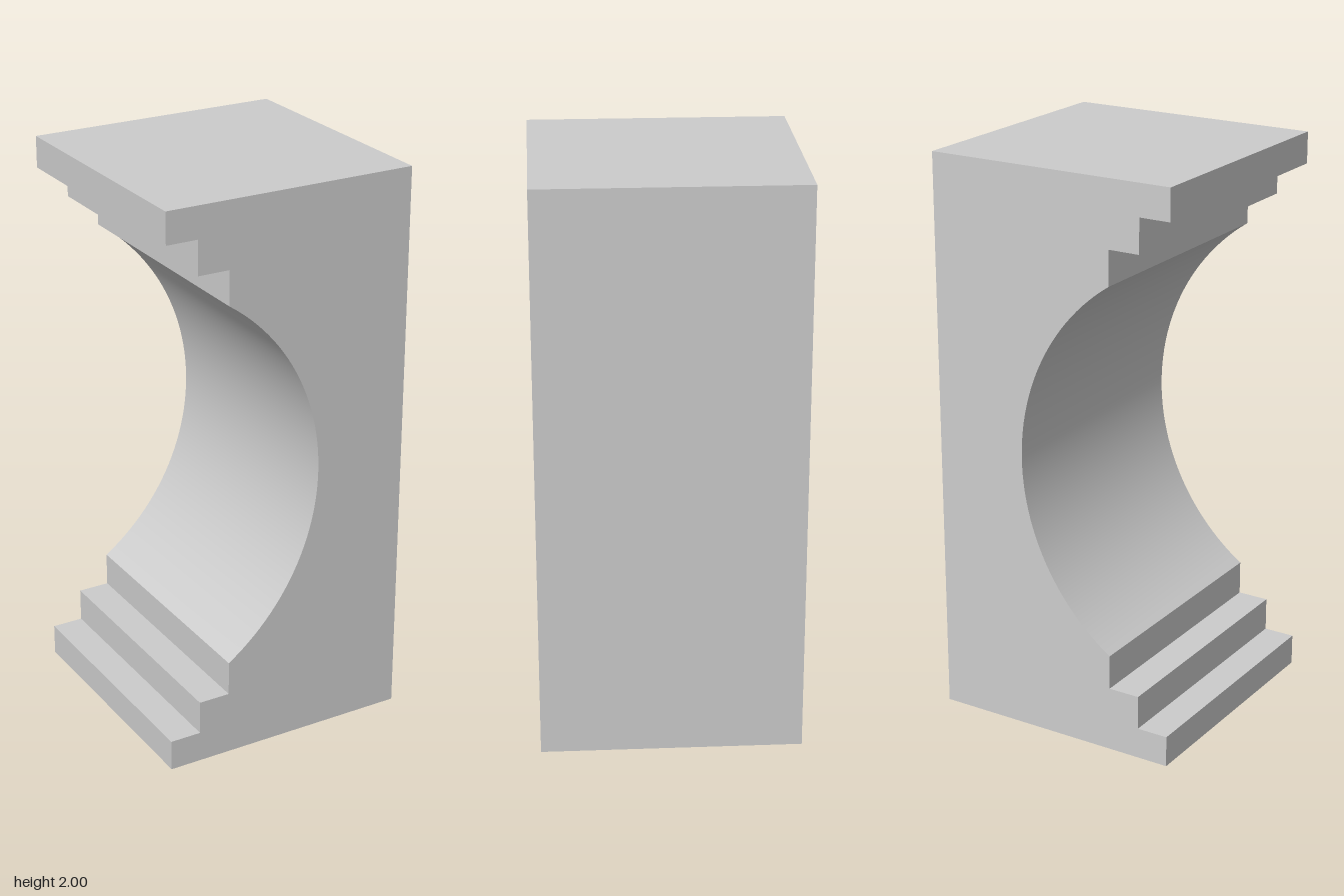
import * as THREE from 'three';
import { toCreasedNormals } from 'three/addons/utils/BufferGeometryUtils.js';

export function createModel() {
  const group = new THREE.Group();
  group.name = 'steppedMoulding';

  const half = 0.452;       // half of width and depth
  const radius = 0.782;     // scooped hollow
  const centreX = -0.664;
  const lipX = -0.227;      // where the hollow meets the steps
  const angle = Math.acos((lipX - centreX) / radius);

  // Steps from the outer edge in to the hollow, as [x, height]
  const steps = [[-half, 0], [-half, 0.11], [-0.34, 0.11], [-0.34, 0.23], [lipX, 0.23]];

  // Profile: straight back, stepped top, concave arc, stepped bottom
  const profile = new THREE.Shape();
  profile.moveTo(half, 0);
  profile.lineTo(half, 2);
  for (const [x, y] of steps) profile.lineTo(x, 2 - y);
  profile.lineTo(lipX, 1 + radius * Math.sin(angle));
  profile.absarc(centreX, 1, radius, angle, -angle, true);
  for (const [x, y] of [...steps].reverse()) profile.lineTo(x, y);
  profile.closePath();

  const geometry = new THREE.ExtrudeGeometry(profile, {
    depth: 2 * half, bevelEnabled: false, curveSegments: 24,
  });
  geometry.translate(0, 0, -half);

  const block = new THREE.Mesh(
    toCreasedNormals(geometry, 0.3),
    new THREE.MeshStandardMaterial({ color: 0xcccccc }),
  );
  block.name = 'mouldingBlock';
  group.add(block);
  return group;
}
